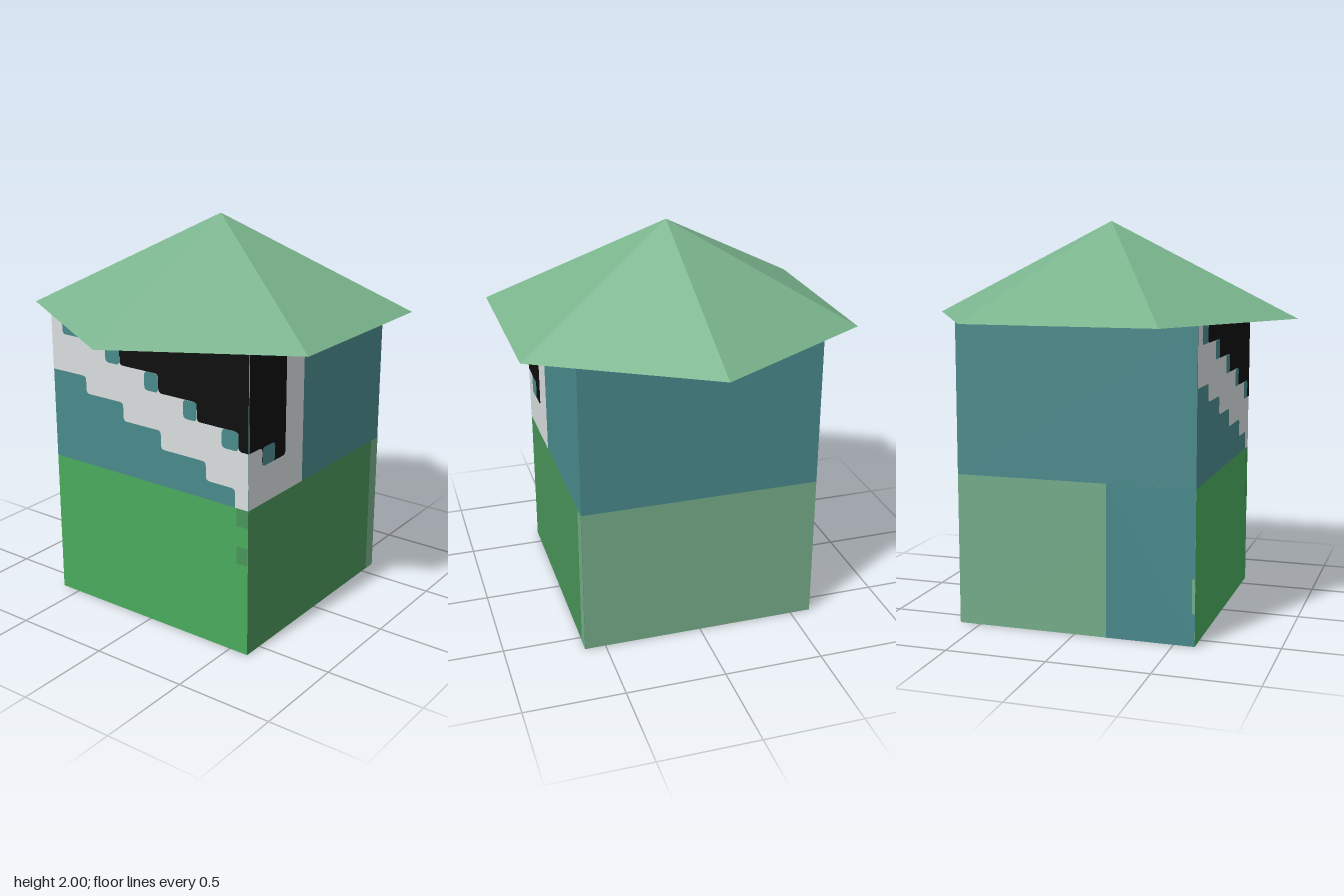
import * as THREE from 'three';

const H = 0.605;      // half width of the walls
const BAND = 0.76;    // top of the lower band
const EAVE = 1.52;    // underside of the roof

function material(name, color) {
  const m = new THREE.MeshStandardMaterial({ color });
  m.name = name;
  return m;
}

// Polygon whose corners are softened, except those on the wall's borders
function softShape(points, r = 0.022) {
  const shape = new THREE.Shape();
  const pts = points.map(([x, y]) => new THREE.Vector2(x, y));
  pts.forEach((p, i) => {
    const prev = pts[(i + pts.length - 1) % pts.length];
    const next = pts[(i + 1) % pts.length];
    const inside = Math.abs(p.x) < H - 0.005 && p.y > BAND + 0.01 && p.y < EAVE - 0.01;
    const cut = (q) => p.clone().lerp(q, Math.min(0.45, r / p.distanceTo(q)));
    const a = inside ? cut(prev) : p;
    if (i === 0) shape.moveTo(a.x, a.y);
    else shape.lineTo(a.x, a.y);
    if (inside) {
      const b = cut(next);
      shape.quadraticCurveTo(p.x, p.y, b.x, b.y);
    }
  });
  shape.closePath();
  return shape;
}

const rect = (x0, x1, y0, y1) => [[x0, y0], [x1, y0], [x1, y1], [x0, y1]];

export function createModel() {
  const roofGreen = material('roof green', 0x7ab48d);
  const paleGrey = material('pale grey', 0xd8dddd);
  const black = material('black', 0x0e0e0e);
  const teal = material('teal', 0x498a8c);
  const sage = material('sage', 0x75ac8a);
  const green = material('bright green', 0x4aab5e);
  const deepGreen = material('deep green', 0x49945a);
  const floorGreen = material('floor green', 0x6e9549);
  const floorBrown = material('floor brown', 0x9b8050);

  const model = new THREE.Group();
  model.name = 'kiosk';

  const add = (parent, name, geometry, mat) => {
    const mesh = new THREE.Mesh(geometry, mat);
    mesh.name = name;
    parent.add(mesh);
    return mesh;
  };

  // Walls: lower band and upper band; sides in order +x, -x, +y, -y, +z, -z
  const lower = add(model, 'lowerWalls', new THREE.BoxGeometry(2 * H, BAND, 2 * H),
    [deepGreen, sage, sage, floorBrown, green, sage]);
  lower.position.y = BAND / 2;
  const upper = add(model, 'upperWalls', new THREE.BoxGeometry(2 * H, EAVE - BAND, 2 * H), teal);
  upper.position.y = (BAND + EAVE) / 2;

  // Floor half in a second colour
  const floor = add(model, 'floorHalf', new THREE.PlaneGeometry(H, 2 * H).rotateX(Math.PI / 2), floorGreen);
  floor.position.set(H / 2, -0.0015, 0);

  // One group per painted wall, its local x running to the viewer's right
  const wall = (name, angle) => {
    const group = new THREE.Group();
    group.name = name;
    group.rotation.y = angle;
    model.add(group);
    return (part, points, mat, layer = 1) => {
      add(group, part, new THREE.ShapeGeometry(softShape(points), 4), mat).position.z = H + layer * 0.0015;
    };
  };

  // Front: stepped pale band with a dark opening above it
  const front = wall('frontWall', 0);
  const stepY = [EAVE, 1.425, 1.33, 1.235, 1.14, 1.045];
  const openX = [-0.41, -0.16, 0.08, 0.31, 0.55, H];      // dark opening's step edges
  const notchX = [-0.53, -0.25, -0.005, 0.23, 0.455];     // left edges of the small notches
  const underX = [-H, -0.385, -0.145, 0.09, 0.36, 0.53];  // steps under the band
  const underY = [1.23, 1.14, 1.045, 0.95, 0.855, BAND];

  const opening = [[H, EAVE], [openX[0], EAVE]];
  const band = [[-H, EAVE], [-H, underY[0]]];
  for (let i = 1; i < 6; i++) {
    opening.push([openX[i - 1], stepY[i]], [openX[i], stepY[i]]);
    band.push([underX[i], underY[i - 1]], [underX[i], underY[i]]);
  }
  band.push([H, BAND], [H, stepY[5]]);
  for (let i = 5; i > 0; i--) band.push([openX[i - 1], stepY[i]], [openX[i - 1], stepY[i - 1]]);

  front('steppedBand', band, paleGrey, 1);
  front('darkOpening', opening, black, 2);
  notchX.forEach((x, i) => front('stepNotch', rect(x, openX[i], stepY[i + 1], stepY[i]), teal, 3));
  front('upperPatch', rect(0.54, H, 0.67, BAND), deepGreen);
  front('lowerPatch', rect(0.54, H, 0.475, 0.565), deepGreen);

  // Side at +x: the band turns the corner and frames the opening
  const side = wall('openingSideWall', Math.PI / 2);
  side('cornerFrame', rect(-H, -0.15, BAND, EAVE), paleGrey, 1);
  side('darkOpening', [[-H, 1.045], [-0.5, 1.045], [-0.5, 0.95], [-0.305, 0.95],
    [-0.305, EAVE], [-H, EAVE]], black, 2);
  side('stepNotch', rect(-0.5, -0.395, 0.95, 1.045), teal, 3);
  side('cornerStrip', rect(0.535, H, 0, BAND), sage);

  // Side at -x: tall teal panel reaching the ground
  const far = wall('panelSideWall', -Math.PI / 2);
  far('tallPanel', rect(0.165, H, 0, BAND), teal, 1);
  far('edgeMark', rect(0.59, H, 0.16, 0.33), sage, 2);

  // Six-sided roof with flat facets
  const cone = new THREE.ConeGeometry(0.965, 2 - EAVE, 6).toNonIndexed();
  cone.computeVertexNormals();
  add(model, 'roof', cone, roofGreen).position.y = (2 + EAVE) / 2;

  return model;
}
